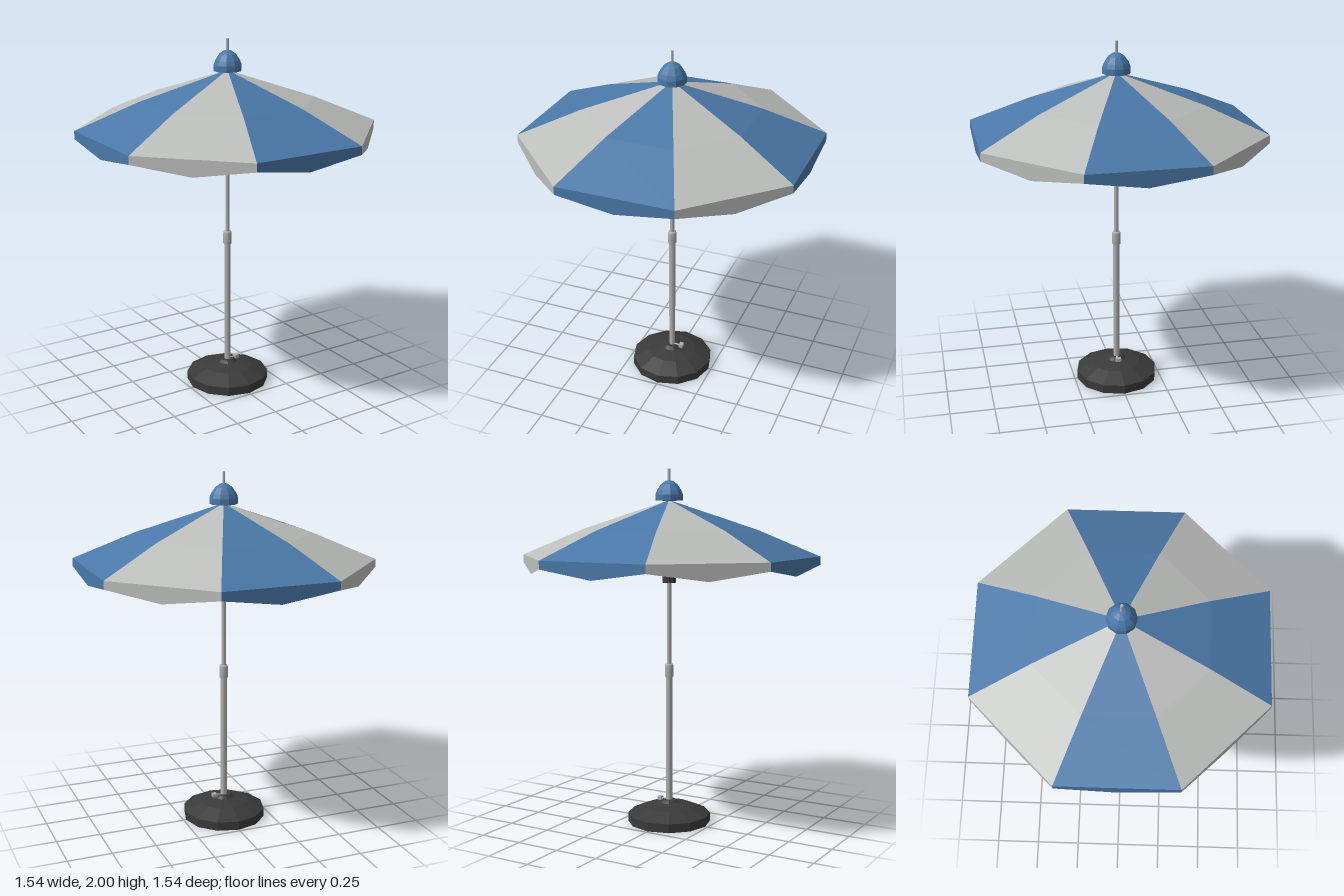
import * as THREE from 'three';

const mat = (name, color, opts = {}) => {
  const m = new THREE.MeshStandardMaterial({ color, flatShading: true, side: THREE.DoubleSide, ...opts });
  m.name = name;
  return m;
};

export function createModel() {
  const blue = mat('blue fabric', 0x4a78a8);
  const grey = mat('light grey fabric', 0xbcbebc);
  const metal = mat('pole metal', 0xb0b0b0, { flatShading: false });
  const dark = mat('dark plastic', 0x3a3a3a);

  const root = new THREE.Group();
  root.name = 'parasol';
  const add = (name, geo, material, parent = root) => {
    const mesh = new THREE.Mesh(geo, material);
    mesh.name = name;
    parent.add(mesh);
    return mesh;
  };
  const lathe = (name, pts, sides, material) =>
    add(name, new THREE.LatheGeometry(pts.map(p => new THREE.Vector2(...p)), sides), material);
  // Straight rod between two points
  const rod = (name, a, b, r, sides, material, parent) => {
    const dir = b.clone().sub(a);
    const mesh = add(name, new THREE.CylinderGeometry(r, r, dir.length(), sides), material, parent);
    mesh.position.copy(a).add(b).multiplyScalar(0.5);
    mesh.quaternion.setFromUnitVectors(new THREE.Vector3(0, 1, 0), dir.normalize());
    return mesh;
  };
  const V = (x, y, z) => new THREE.Vector3(x, y, z);

  // Hollow weighted base, open underneath
  lathe('base', [[0.235, 0], [0.235, 0.05], [0.14, 0.093], [0.055, 0.112], [0.038, 0.128], [0.017, 0.128]], 12, dark);

  // Clamping screw with its flat grip
  const screw = new THREE.Group();
  screw.name = 'clampScrew';
  root.add(screw);
  rod('screwShaft', V(0.01, 0.126, 0), V(0.05, 0.126, 0), 0.006, 8, metal, screw);
  add('screwGrip', new THREE.BoxGeometry(0.024, 0.02, 0.03), metal, screw).position.set(0.058, 0.128, 0);

  // Telescopic pole
  rod('lowerPole', V(0, 0.08, 0), V(0, 0.85, 0), 0.018, 12, metal);
  lathe('poleCollar', [[0.018, 0.838], [0.024, 0.842], [0.024, 0.905], [0.021, 0.915], [0.012, 0.915]], 12, metal);
  rod('upperPole', V(0, 0.85, 0), V(0, 1.84, 0), 0.012, 12, metal);

  // Sliding runner and the crown under the apex
  lathe('runner', [[0.012, 1.373], [0.037, 1.373], [0.037, 1.425], [0.045, 1.432], [0.045, 1.444], [0.012, 1.446]], 12, dark);
  rod('crown', V(0, 1.77, 0), V(0, 1.805, 0), 0.026, 10, dark);

  // Finial cap and spike
  lathe('finial', [[0.012, 1.825], [0.078, 1.827], [0.078, 1.86], [0.068, 1.885], [0.046, 1.917], [0.02, 1.935], [0, 1.938]], 10, blue);
  rod('spike', V(0, 1.92, 0), V(0, 2, 0), 0.008, 8, metal);

  // Canopy: corner of ring at radius r, height y
  const corner = (i, r, y) => {
    const a = (i - 0.5) * Math.PI / 4;
    return V(Math.sin(a) * r, y, Math.cos(a) * r);
  };
  const R = 0.833, MID = 0.485;
  const apex = V(0, 1.83, 0);
  const canopy = new THREE.Group();
  canopy.name = 'canopy';
  const frame = new THREE.Group();
  frame.name = 'frame';
  root.add(canopy, frame);

  for (let i = 0; i < 8; i++) {
    const material = i % 2 ? grey : blue;
    const [m0, m1] = [corner(i, MID, 1.67), corner(i + 1, MID, 1.67)];
    const [e0, e1] = [corner(i, R, 1.525), corner(i + 1, R, 1.525)];
    const [h0, h1] = [corner(i, R, 1.48), corner(i + 1, R, 1.48)];
    const tip = h0.clone().lerp(h1, 0.5).setY(1.435);

    // Two-slope panel
    const panel = new THREE.BufferGeometry().setFromPoints([apex, m0, m1, m0, e0, e1, m0, e1, m1]);
    panel.computeVertexNormals();
    add('canopyPanel', panel, material, canopy);

    // Hanging pointed valance
    const valance = new THREE.BufferGeometry().setFromPoints([e0, h0, tip, e0, tip, e1, e1, tip, h1]);
    valance.computeVertexNormals();
    add('valance', valance, material, canopy);

    // Rib along the seam, its end cap, and the strut from the runner
    const bend = corner(i, MID, 1.656);
    const end = corner(i, R - 0.012, 1.516);
    rod('innerRib', corner(i, 0.02, 1.808), bend, 0.006, 6, dark, frame);
    rod('outerRib', bend, end, 0.006, 6, dark, frame);
    rod('ribCap', corner(i, R - 0.013, 1.488), end, 0.01, 6, dark, frame);
    rod('strut', corner(i, 0.035, 1.436), corner(i, 0.3, 1.716), 0.005, 6, dark, frame);
  }
  return root;
}
